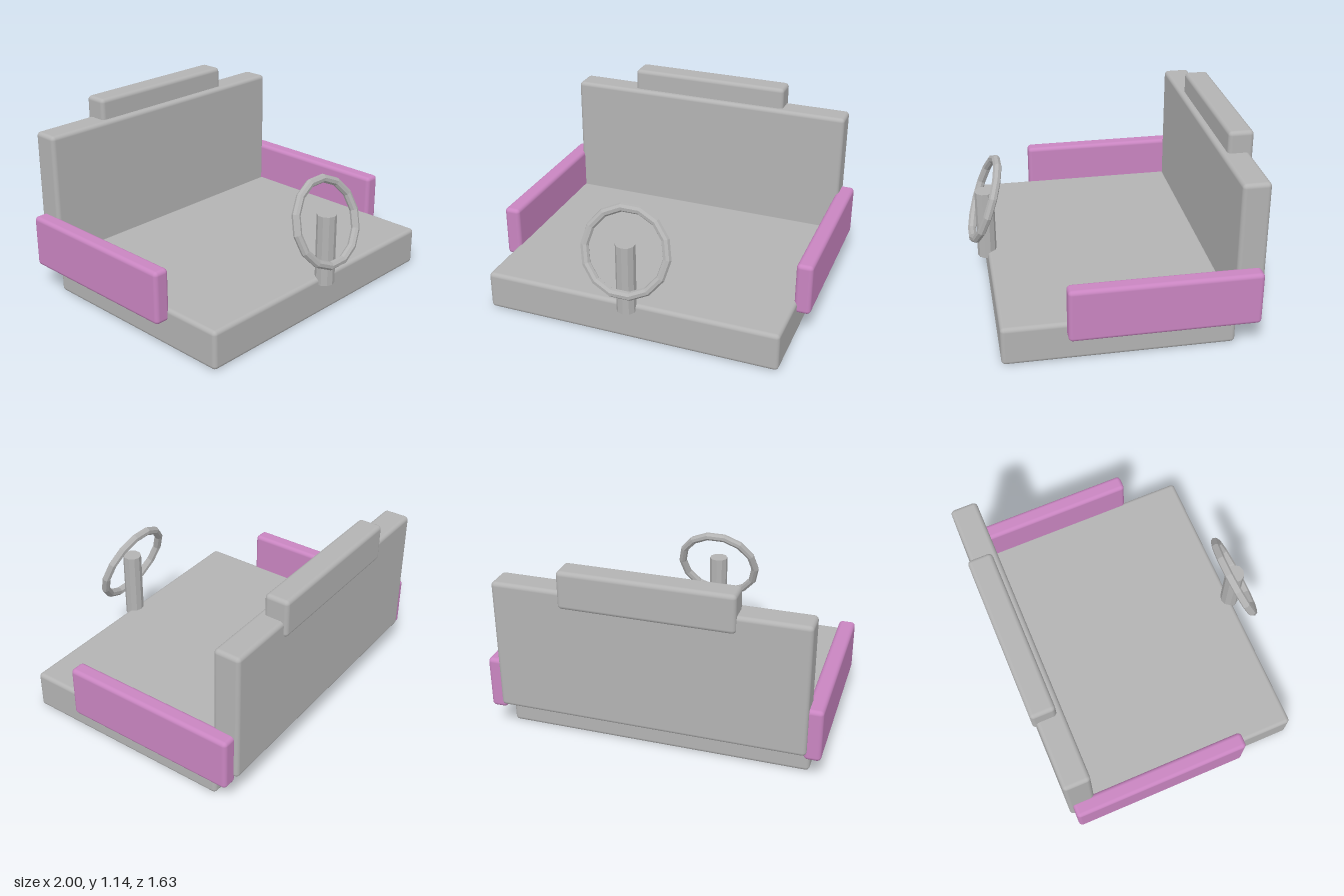
import * as THREE from 'three';
import { RoundedBoxGeometry } from 'three/addons/geometries/RoundedBoxGeometry.js';

export function createModel() {
  const group = new THREE.Group();
  const grey = new THREE.MeshStandardMaterial({ color: 0xb3b3b3 });
  grey.name = 'grey';
  const pink = new THREE.MeshStandardMaterial({ color: 0xc985c1 });
  pink.name = 'pink';
  const greyFaceted = grey;

  const add = (name, geometry, material, x, y, z) => {
    const mesh = new THREE.Mesh(geometry, material);
    mesh.name = name;
    mesh.position.set(x, y, z);
    group.add(mesh);
    return mesh;
  };

  // Soft-edged block given by its [min, max] extents on each axis
  const block = (name, material, [x0, x1], [y0, y1], [z0, z1], radius = 0.025) =>
    add(name, new RoundedBoxGeometry(x1 - x0, y1 - y0, z1 - z0, 3, radius), material,
      (x0 + x1) / 2, (y0 + y1) / 2, (z0 + z1) / 2);

  // Bench: seat, backrest and headrest
  block('seat', grey, [-0.92, 0.92], [0, 0.24], [-0.645, 0.705]);
  block('backrest', grey, [-0.92, 0.92], [0.2, 1.01], [-0.795, -0.63]);
  block('headrest', grey, [-0.51, 0.51], [0.91, 1.14], [-0.815, -0.665]);

  // Armrests
  block('leftArmrest', pink, [0.9, 1], [0.165, 0.49], [-0.77, 0.335]);
  block('rightArmrest', pink, [-1, -0.9], [0.165, 0.49], [-0.77, 0.335]);

  // Faceted steering column: unshared vertices give flat sides
  const column = new THREE.CylinderGeometry(0.059, 0.059, 0.44, 10).toNonIndexed();
  column.computeVertexNormals();
  add('steeringColumn', column, greyFaceted, 0, 0.42, 0.705);

  // Steering wheel ring, leaning back towards the seat
  const ring = new THREE.TorusGeometry(0.255, 0.026, 8, 14).toNonIndexed();
  ring.computeVertexNormals();
  const wheel = add('steeringWheel', ring, greyFaceted, 0, 0.588, 0.705);
  wheel.rotation.x = -0.35;

  return group;
}
